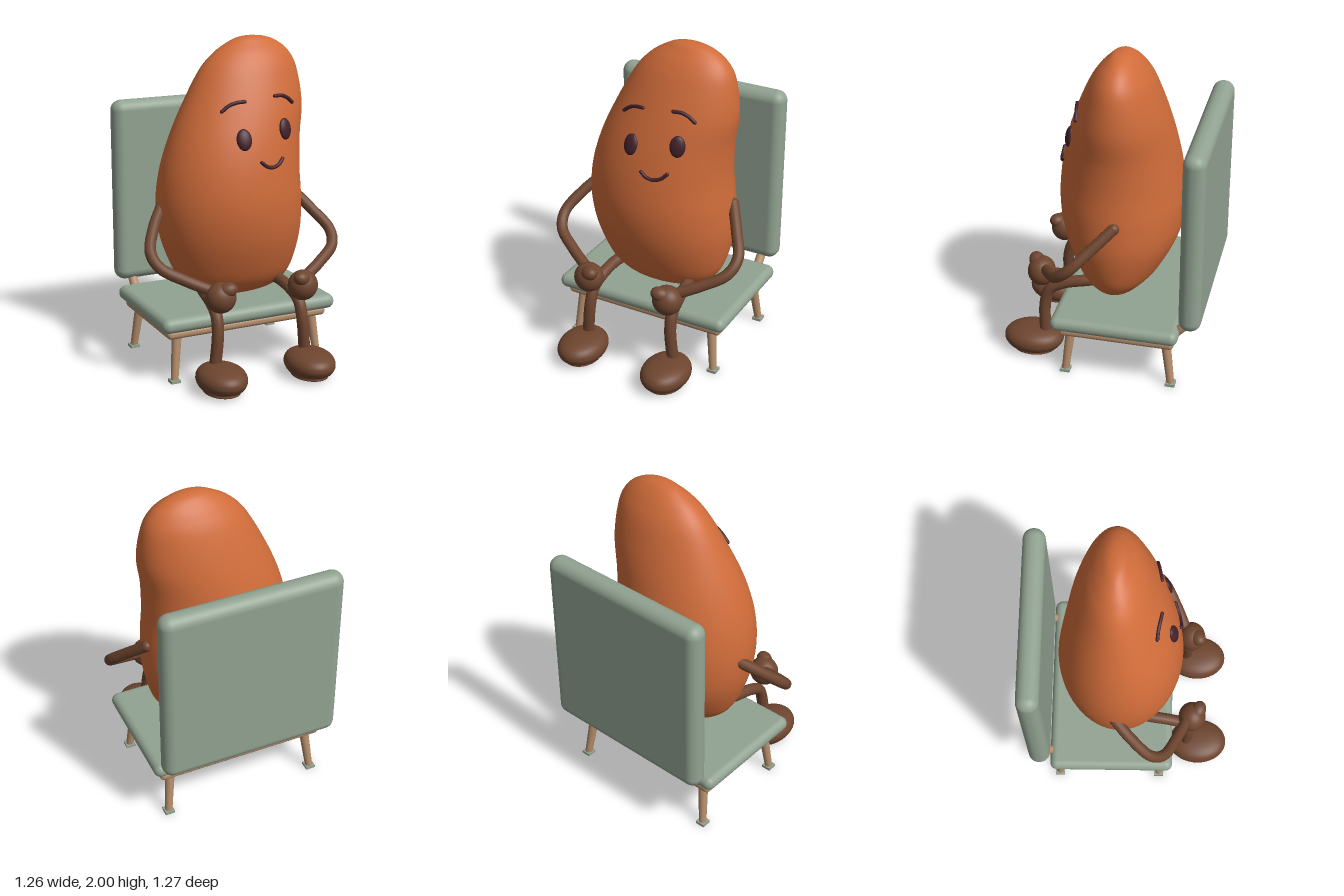
import * as THREE from 'three';
import { RoundedBoxGeometry } from 'three/addons/geometries/RoundedBoxGeometry.js';
import { mergeVertices } from 'three/addons/utils/BufferGeometryUtils.js';

const V = (x, y, z) => new THREE.Vector3(x, y, z);
const mat = (name, color) => {
  const m = new THREE.MeshStandardMaterial({ color });
  m.name = name;
  return m;
};

// Body stations: height, right edge, left edge, back edge, front edge
const STATIONS = [
  [0.41, 0.04, 0.04, -0.08, -0.08],
  [0.418, -0.08, 0.15, -0.13, -0.03],
  [0.45, -0.2, 0.27, -0.18, 0.06],
  [0.5, -0.28, 0.345, -0.235, 0.13],
  [0.6, -0.36, 0.41, -0.315, 0.2],
  [0.8, -0.435, 0.455, -0.41, 0.28],
  [1.0, -0.46, 0.455, -0.435, 0.315],
  [1.2, -0.44, 0.44, -0.415, 0.305],
  [1.4, -0.38, 0.445, -0.38, 0.265],
  [1.6, -0.29, 0.47, -0.335, 0.2],
  [1.8, -0.18, 0.445, -0.27, 0.115],
  [1.9, -0.09, 0.395, -0.215, 0.055],
  [1.96, 0.0, 0.32, -0.165, 0.0],
  [1.99, 0.07, 0.24, -0.125, -0.035],
  [2.0, 0.15, 0.15, -0.08, -0.08],
];
const uniform = (pts) => new THREE.CatmullRomCurve3(pts, false, 'catmullrom', 0.5);
const centre = uniform(STATIONS.map(([y, l, r, b, f]) => V((l + r) / 2, y, (b + f) / 2)));
const half = uniform(STATIONS.map(([y, l, r, b, f]) => V((r - l) / 2, y, (f - b) / 2)));

// Elliptical rings lofted through the stations
function bodyGeometry(rows = 84, cols = 64) {
  const pos = [], idx = [];
  for (let i = 0; i <= rows; i++) {
    const c = centre.getPoint(i / rows), h = half.getPoint(i / rows);
    for (let j = 0; j < cols; j++) {
      const a = (j / cols) * Math.PI * 2;
      pos.push(c.x + h.x * Math.cos(a), c.y, c.z + h.z * Math.sin(a));
      if (i === rows) continue;
      const p = i * cols + j, q = i * cols + ((j + 1) % cols);
      if (i < rows - 1) idx.push(p, p + cols, q + cols);
      if (i > 0) idx.push(p, q + cols, q);
    }
  }
  const g = new THREE.BufferGeometry();
  g.setAttribute('position', new THREE.Float32BufferAttribute(pos, 3));
  g.setIndex(idx);
  const welded = mergeVertices(g, 1e-5);
  welded.computeVertexNormals();
  return welded;
}

// Point on the front of the body, and its normal
function onFace(x, y) {
  let lo = 0, hi = 1;
  for (let k = 0; k < 30; k++) {
    const m = (lo + hi) / 2;
    if (centre.getPoint(m).y < y) lo = m; else hi = m;
  }
  const c = centre.getPoint(lo), h = half.getPoint(lo);
  return V(x, y, c.z + h.z * Math.sqrt(Math.max(0, 1 - ((x - c.x) / h.x) ** 2)));
}
function faceNormal(x, y, e = 0.01) {
  const dx = onFace(x + e, y).sub(onFace(x - e, y));
  const dy = onFace(x, y + e).sub(onFace(x, y - e));
  return dx.cross(dy).normalize();
}

export function createModel() {
  const model = new THREE.Group();
  model.name = 'seatedBean';
  const orange = mat('bean orange', 0xd06c3a);
  const brown = mat('limb brown', 0x6e452f);
  const dark = mat('face dark brown', 0x42202a);
  const sage = mat('cushion sage', 0x92a392);
  const wood = mat('frame wood', 0xb58e6c);

  const add = (name, geo, m, p = V(0, 0, 0), parent = model) => {
    const mesh = new THREE.Mesh(geo, m);
    mesh.name = name;
    mesh.position.copy(p);
    parent.add(mesh);
    return mesh;
  };
  const ball = (name, m, p, rx, ry, rz, parent) => {
    const s = add(name, new THREE.SphereGeometry(1, 32, 20), m, p, parent);
    s.scale.set(rx, ry, rz);
    return s;
  };
  // Round tube with ball ends
  const limb = (name, pts, r, m) => {
    const g = new THREE.Group();
    g.name = name;
    model.add(g);
    add(name + 'Tube', new THREE.TubeGeometry(new THREE.CatmullRomCurve3(pts), 40, r, 16), m, undefined, g);
    for (const p of [pts[0], pts[pts.length - 1]]) ball(name + 'End', m, p, r, r, r, g);
  };
  // Tapered rod between two points
  const rod = (name, a, b, ra, rb, m) => {
    const d = b.clone().sub(a);
    const s = add(name, new THREE.CylinderGeometry(rb, ra, d.length(), 20), m, a.clone().add(b).multiplyScalar(0.5));
    s.quaternion.setFromUnitVectors(V(0, 1, 0), d.normalize());
  };

  add('body', bodyGeometry(), orange);

  // Face
  for (const [name, x, y] of [['rightEye', -0.05, 1.44], ['leftEye', 0.235, 1.475]]) {
    const eye = ball(name, dark, onFace(x, y), 0.046, 0.064, 0.022);
    eye.quaternion.setFromUnitVectors(V(0, 0, 1), faceNormal(x, y));
  }
  const line = (name, pts) => limb(name, pts.map(([x, y]) => onFace(x, y).addScaledVector(faceNormal(x, y), 0.005)), 0.011, dark);
  line('rightBrow', [[-0.145, 1.595], [-0.105, 1.625], [-0.06, 1.642], [-0.01, 1.648]]);
  line('leftBrow', [[0.185, 1.667], [0.235, 1.665], [0.275, 1.648], [0.31, 1.618]]);
  line('mouth', [[0.042, 1.305], [0.075, 1.279], [0.115, 1.269], [0.16, 1.28], [0.193, 1.31]]);

  // Foot profile with a narrower flat sole
  const footProfile = [[0, 0.005], [0.68, 0.005], [0.72, 0.025], [0.88, 0.038], [0.98, 0.065], [1, 0.085],
    [0.97, 0.108], [0.85, 0.133], [0.6, 0.152], [0.3, 0.161], [0, 0.163]];
  const footCurve = new THREE.SplineCurve(footProfile.map(([r, y]) => new THREE.Vector2(r, y)));
  const footPts = footCurve.getPoints(40).map((p) => p.setX(Math.max(0, p.x)));
  const footGeo = new THREE.LatheGeometry(footPts, 40);

  for (const [side, s] of [['right', -1], ['left', 1]]) {
    const shoulder = s < 0 ? 0.425 : 0.45;
    limb(side + 'Arm', [V(s * shoulder, 1.02, -0.1), V(s * 0.53, 0.91, 0.015), V(s * 0.597, 0.8, 0.13),
      V(s * 0.57, 0.725, 0.21), V(s * 0.44, 0.652, 0.29), V(s * 0.29, 0.585, 0.36)], 0.034, brown);
    ball(side + 'Hand', brown, V(s * 0.27, 0.558, 0.39), 0.092, 0.092, 0.085);
    const thumb = ball(side + 'Thumb', brown, V(s * 0.245, 0.61, 0.425), 0.062, 0.045, 0.048);
    thumb.rotation.set(0, s * 0.5, s * -0.3);
    limb(side + 'Leg', [V(s * 0.22, 0.53, 0.0), V(s * 0.255, 0.52, 0.1), V(s * 0.27, 0.488, 0.25),
      V(s * 0.275, 0.44, 0.335), V(s * 0.28, 0.34, 0.37), V(s * 0.3, 0.12, 0.37)], 0.036, brown);
    const foot = add(side + 'Foot', footGeo, brown, V(s * 0.293, 0, 0.445));
    foot.scale.set(0.146, 1, 0.187);
  }

  // Chair
  add('seatCushion', new RoundedBoxGeometry(1.145, 0.09, 0.775, 6, 0.044), sage, V(0, 0.37, -0.117));
  add('backCushion', new RoundedBoxGeometry(1.12, 1.15, 0.134, 6, 0.064), sage, V(0, 1.005, -0.568));
  add('seatFrame', new RoundedBoxGeometry(1.06, 0.055, 0.7, 5, 0.025), wood, V(0, 0.302, -0.127));
  for (const s of [-1, 1]) {
    rod('backStrut', V(s * 0.45, 0.33, -0.45), V(s * 0.45, 0.47, -0.58), 0.028, 0.028, wood);
    for (const [zTop, zBottom] of [[0.163, 0.193], [-0.42, -0.46]]) {
      rod('chairLeg', V(s * 0.483, 0.015, zBottom), V(s * 0.453, 0.29, zTop), 0.023, 0.03, wood);
      add('legPad', new THREE.BoxGeometry(0.06, 0.018, 0.06), sage, V(s * 0.484, 0.009, zBottom));
    }
  }
  return model;
}
